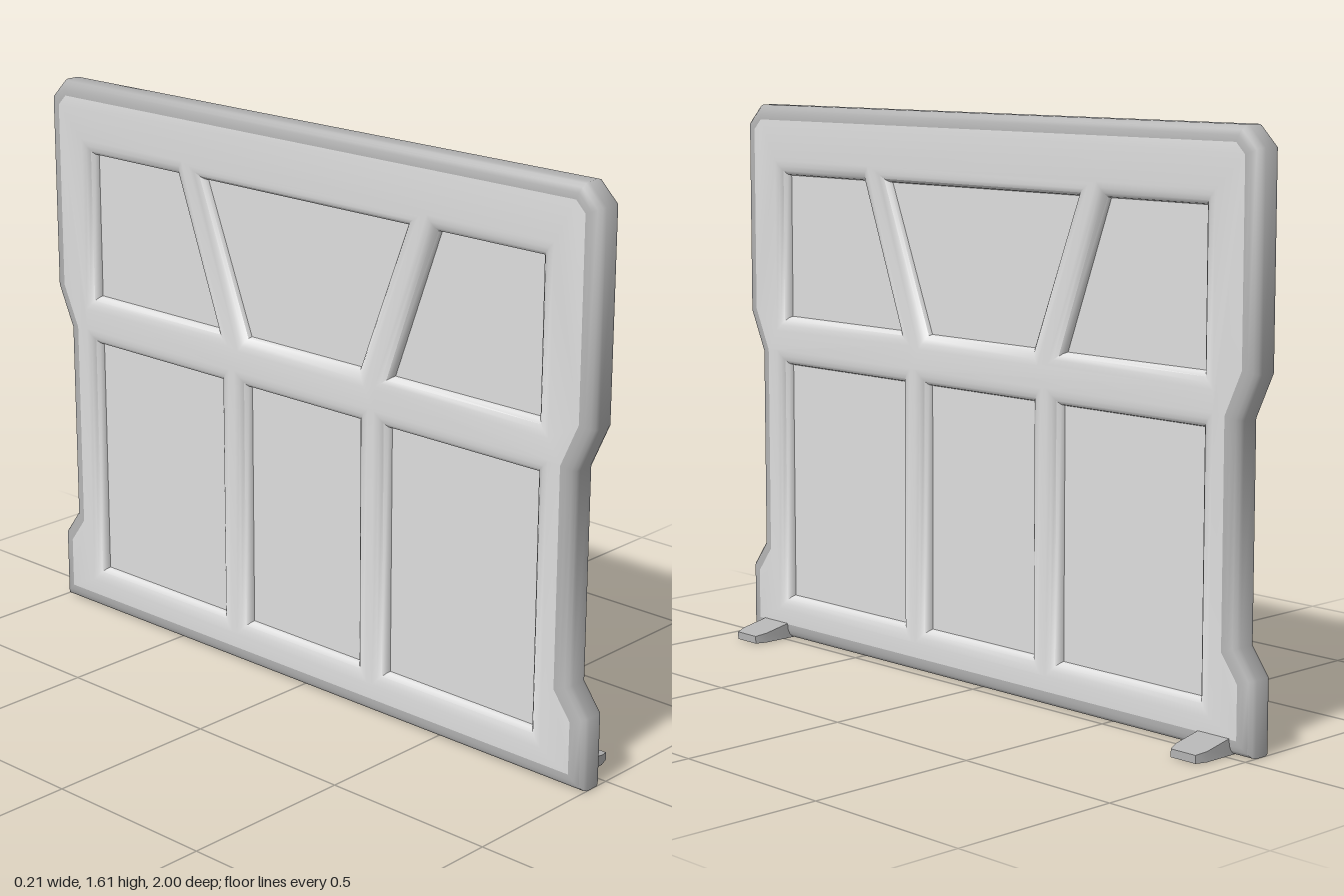
import * as THREE from 'three';
import { toCreasedNormals } from 'three/addons/utils/BufferGeometryUtils.js';

const CENTRE_X = -0.06;   // middle plane of the board
const BEVEL = 0.043;      // width of the rounded edges
const BEVEL_DEPTH = 0.027;
const BEVEL_SEGMENTS = 4;
const THICKNESS = 0.093;
const PANEL_THICKNESS = 0.036;

const toPoints = (list) => list.map(([z, y]) => new THREE.Vector2(z, y));
const mirror = (list) => list.map(([z, y]) => [-z, y]).reverse();

// The board's outline: one half from bottom to top, then its mirror image
const halfOutline = [[1, 0], [1, 0.205], [0.945, 0.28], [0.945, 0.865], [1, 0.985], [1, 1.55], [0.945, 1.605]];
const outline = [...halfOutline, ...mirror(halfOutline)];

// Openings of the recessed panels
const lowerSide = [[0.315, 0.13], [0.82, 0.13], [0.82, 0.835], [0.315, 0.835]];
const upperSide = [[0.325, 0.98], [0.82, 0.98], [0.82, 1.4], [0.48, 1.4]];
const openings = [
  lowerSide, mirror(lowerSide),
  upperSide, mirror(upperSide),
  [[-0.208, 0.13], [0.208, 0.13], [0.208, 0.835], [-0.208, 0.835]],
  [[-0.208, 0.98], [0.208, 0.98], [0.372, 1.4], [-0.372, 1.4]],
];

// Frame: outline with openings, rounded along every edge.
// Group 0 is the faces and opening edges, group 1 the outer rim.
function frameGeometry() {
  const shape = new THREE.Shape(toPoints(outline));
  shape.holes = openings.map((o) => new THREE.Path(toPoints(o)));
  const depth = THICKNESS - 2 * BEVEL_DEPTH;
  const extruded = new THREE.ExtrudeGeometry(shape, {
    depth, bevelEnabled: true, bevelSize: BEVEL, bevelOffset: -BEVEL,
    bevelThickness: BEVEL_DEPTH, bevelSegments: BEVEL_SEGMENTS,
  });
  extruded.translate(0, 0, -depth / 2).rotateY(Math.PI / 2);

  // The outer walls follow the caps, two triangles per side and layer
  const rimStart = extruded.groups[0].count;
  const rimCount = outline.length * (2 * BEVEL_SEGMENTS + 1) * 6;
  const rimEnd = rimStart + rimCount;
  const geometry = toCreasedNormals(extruded, 0.85);
  geometry.clearGroups();
  geometry.addGroup(0, rimStart, 0);
  geometry.addGroup(rimStart, rimCount, 1);
  geometry.addGroup(rimEnd, geometry.attributes.position.count - rimEnd, 0);
  return geometry;
}

// Panel: flat plate reaching just inside the frame
function panelGeometry(points) {
  const geometry = new THREE.ExtrudeGeometry(new THREE.Shape(toPoints(points)), {
    depth: PANEL_THICKNESS, bevelEnabled: false,
  });
  return geometry.translate(0, 0, -PANEL_THICKNESS / 2).rotateY(Math.PI / 2);
}

// Foot: tongue with clipped corners whose top slopes down to the tip
function footGeometry() {
  const plan = [[-0.04, -0.053], [0.07, -0.053], [0.102, -0.042], [0.102, 0.042], [0.07, 0.053], [-0.04, 0.053]];
  const geometry = new THREE.ExtrudeGeometry(new THREE.Shape(toPoints(plan)), { depth: 1, bevelEnabled: false });
  geometry.rotateX(-Math.PI / 2);
  const p = geometry.attributes.position;
  for (let i = 0; i < p.count; i++) {
    const height = 0.045 - 0.2 * (p.getX(i) + 0.013);
    p.setY(i, p.getY(i) * height);
  }
  return toCreasedNormals(geometry, 0.5);
}

function makeMaterial(name, color) {
  const material = new THREE.MeshStandardMaterial({ color });
  material.name = name;
  return material;
}

export function createModel() {
  const group = new THREE.Group();
  group.name = 'panelledBoard';
  const lightGrey = makeMaterial('light grey', 0xdedede);
  const midGrey = makeMaterial('mid grey', 0xb4b4b4);

  const add = (name, geometry, material, x, z = 0) => {
    const mesh = new THREE.Mesh(geometry, material);
    mesh.name = name;
    mesh.position.set(x, 0, z);
    group.add(mesh);
  };

  add('frame', frameGeometry(), [lightGrey, midGrey], CENTRE_X);
  openings.forEach((o, i) => add(`panel${i + 1}`, panelGeometry(o), lightGrey, CENTRE_X));

  const foot = footGeometry();
  add('frontFoot', foot, midGrey, 0, 0.88);
  add('backFoot', foot, midGrey, 0, -0.88);
  return group;
}
